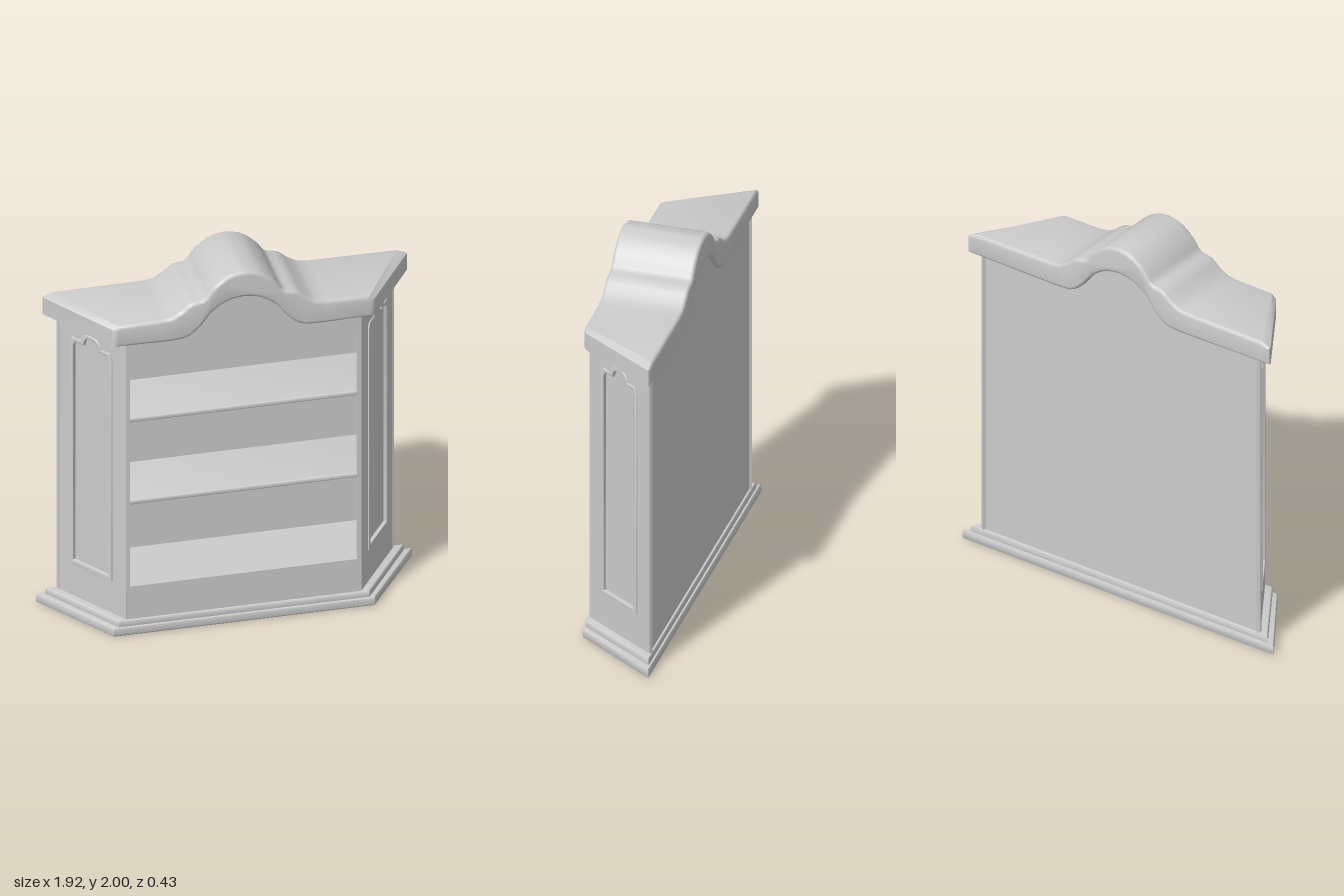
import * as THREE from 'three';
import { toCreasedNormals } from 'three/addons/utils/BufferGeometryUtils.js';

const material = new THREE.MeshStandardMaterial({ color: 0xcccccc });
const FRONT = 0.2, BACK = -0.19;          // body depth
const FRONT_HALF = 0.6, BACK_HALF = 0.86; // body half widths
const KINK = 0.42;                        // the arch stays straight inside this x

function add(parent, name, geometry) {
  const mesh = new THREE.Mesh(toCreasedNormals(geometry, 0.6), material);
  mesh.name = name;
  parent.add(mesh);
  return mesh;
}

const shapeOf = (pts) => new THREE.Shape(pts.map(([x, y]) => new THREE.Vector2(x, y)));

// Extrudes along z from z0 to z1; the bevel stays inside the outline
function extrude(shape, z0, z1, bevel = 0) {
  const geometry = new THREE.ExtrudeGeometry(shape, {
    depth: z1 - z0 - 2 * bevel, bevelEnabled: bevel > 0, bevelSize: bevel,
    bevelThickness: bevel, bevelOffset: -bevel, bevelSegments: 3, curveSegments: 12,
  });
  return geometry.translate(0, 0, z0 + bevel);
}

// Horizontal slab, wider at the back than at the front
function slab(frontHalf, backHalf, zFront, zBack, y0, y1, bevel = 0) {
  const shape = shapeOf([[-frontHalf, -zFront], [frontHalf, -zFront], [backHalf, -zBack], [-backHalf, -zBack]]);
  return extrude(shape, y0, y1, bevel).rotateX(-Math.PI / 2);
}

// Smooth half curve from the side to the middle, in n steps
const curve = (pts, n = 18) =>
  new THREE.SplineCurve(pts.map(([x, y]) => new THREE.Vector2(x, y))).getPoints(n).map((p) => [p.x, p.y]);

// Continues a right half, ending on x = 0, with its mirror image
const mirrored = (half) => [...half, ...half.slice(0, -1).reverse().map(([x, y]) => [-x, y])];

// Closed band between an upper and a lower half profile
const band = (upper, lower) => shapeOf([...mirrored(upper), ...mirrored(lower).reverse()]);

// Widens the ends towards the back while the middle stays straight
function flare(geometry, end, frontHalf, backHalf, zFront, zBack) {
  const p = geometry.attributes.position;
  for (let i = 0; i < p.count; i++) {
    const x = p.getX(i), a = Math.abs(x);
    if (a <= KINK) continue;
    const t = (zFront - p.getZ(i)) / (zFront - zBack);
    const half = frontHalf + (backHalf - frontHalf) * t;
    p.setX(i, Math.sign(x) * (KINK + (a - KINK) * (half - KINK) / (end - KINK)));
  }
  return geometry;
}

// Tall panel outline with shouldered, arched head
function panelOutline(w, y0, shoulder, step, r, PathType = THREE.Shape) {
  const path = new PathType();
  path.moveTo(-w, y0);
  path.lineTo(w, y0);
  path.lineTo(w, shoulder);
  path.lineTo(w - 0.015, shoulder + step);
  path.lineTo(r + 0.008, shoulder + step);
  path.absellipse(0, shoulder + step, r, 0.05, 0, Math.PI, false, 0);
  path.lineTo(-w + 0.015, shoulder + step);
  path.lineTo(-w, shoulder);
  path.closePath();
  return path;
}

export function createModel() {
  const model = new THREE.Group();
  model.name = 'displayCabinet';

  // Stepped base and solid plinth
  add(model, 'baseSlab', slab(0.665, 0.96, 0.215, -0.215, 0, 0.05, 0.008));
  add(model, 'baseStep', slab(0.64, 0.915, 0.209, -0.203, 0.04, 0.085, 0.012));
  add(model, 'plinth', slab(FRONT_HALF - 0.003, BACK_HALF - 0.005, FRONT, BACK + 0.001, 0.02, 0.27));

  // Shelves reach the slanted walls
  for (const y of [0.735, 1.205]) {
    add(model, 'shelf', slab(0.58, 0.832, 0.195, -0.182, y, y + 0.025, 0.006));
  }

  // Arched back board
  const backTop = [[0.855, 1.7], [0.4, 1.7], ...curve([[0.32, 1.71], [0.22, 1.78], [0.12, 1.9], [0, 1.93]], 10)];
  add(model, 'backBoard', extrude(shapeOf([[-0.855, 0.03], [0.855, 0.03], ...mirrored(backTop)]), BACK, BACK + 0.015));

  // Slanted side walls with a sunken panel in a raised moulding
  const run = BACK_HALF - FRONT_HALF, depth = FRONT - BACK;
  const length = Math.hypot(run, depth);
  for (const side of [1, -1]) {
    const wall = new THREE.Group();
    wall.name = side > 0 ? 'leftSide' : 'rightSide';
    wall.position.set(side * (FRONT_HALF + BACK_HALF) / 2, 0, (FRONT + BACK) / 2);
    wall.rotation.y = side * Math.atan2(depth, run);
    model.add(wall);

    const h = length / 2;
    const board = shapeOf([[-h, 0.03], [h, 0.03], [h, 1.7], [-h, 1.7]]);
    board.holes.push(panelOutline(0.13, 0.28, 1.53, 0.03, 0.06, THREE.Path));
    add(wall, 'sideWall', extrude(board, -0.02, 0));
    add(wall, 'sunkenPanel', new THREE.BoxGeometry(0.3, 1.4, 0.007).translate(0, 0.95, -0.0175));

    const frame = panelOutline(0.141, 0.267, 1.535, 0.03, 0.07);
    frame.holes.push(panelOutline(0.118, 0.292, 1.52, 0.025, 0.048, THREE.Path));
    add(wall, 'panelMoulding', extrude(frame, -0.014, 0.007, 0.004));

    // Narrow front post beside the opening
    add(model, 'frontPost', new THREE.BoxGeometry(0.02, 1.4, 0.02).translate(side * 0.59, 0.95, FRONT - 0.01));
  }

  // Arched frieze, forming the ceiling of the top compartment
  const friezeTop = [[0.6, 1.7], [KINK, 1.7], ...curve([[0.36, 1.7], [0.28, 1.73], [0.2, 1.79], [0.12, 1.89], [0, 1.93]])];
  const friezeArch = [[0.6, 1.57], [KINK, 1.57],
    ...curve([[0.37, 1.57], [0.3, 1.59], [0.22, 1.655], [0.17, 1.715], [0.09, 1.765], [0, 1.78]])];
  add(model, 'frieze', flare(extrude(band(friezeTop, friezeArch), BACK + 0.005, FRONT),
    0.6, FRONT_HALF - 0.005, BACK_HALF - 0.025, FRONT, BACK));

  // Crown moulding with rounded edges, sweeping up over the middle
  const crownTop = [[0.66, 1.75], [0.635, 1.772], [KINK, 1.775],
    ...curve([[0.37, 1.782], [0.32, 1.81], [0.27, 1.85], [0.215, 1.86]], 6),
    ...curve([[0.195, 1.872], [0.15, 1.93], [0.08, 1.982], [0, 2]], 10)];
  const crownUnder = [[0.66, 1.655], [KINK, 1.65],
    ...curve([[0.37, 1.65], [0.29, 1.66], [0.22, 1.715], [0.16, 1.79], [0.08, 1.84], [0, 1.855]])];
  add(model, 'crown', flare(extrude(band(crownTop, crownUnder), -0.215, 0.212, 0.018),
    0.66, 0.66, 0.94, 0.212, -0.215));

  return model;
}
